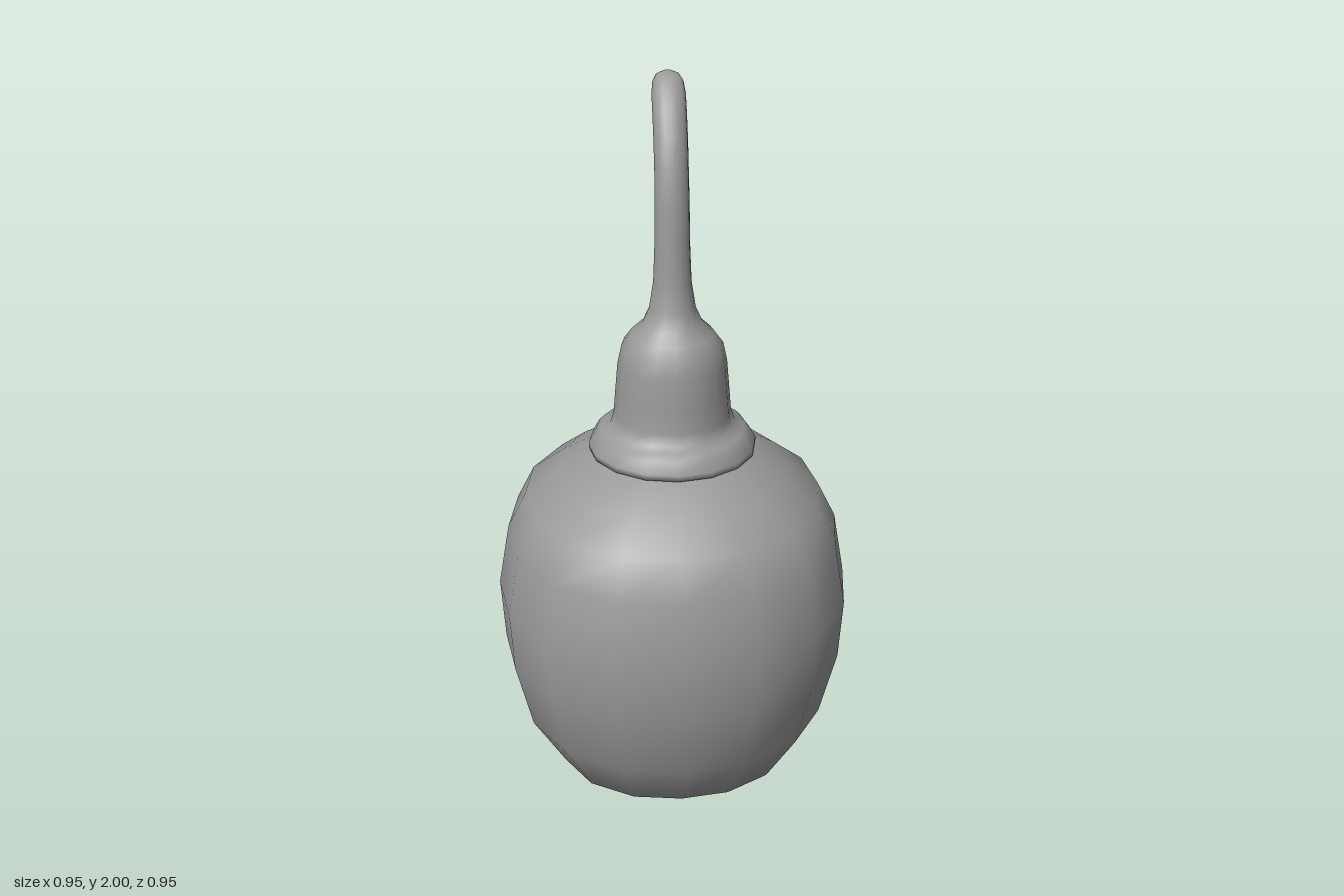
import * as THREE from 'three';

// Smooth closed loft through rings: [y, radiusX, radiusZ, z centre, backward tilt]
function loft(rings, sides, swell = 0) {
  const pos = [], idx = [];
  for (const [y, rx, rz = rx, zc = 0, tilt = 0] of rings) {
    for (let j = 0; j < sides; j++) {
      const a = (j / sides) * Math.PI * 2;
      const k = 1 + swell * (1 - Math.cos(4 * a));
      const d = rz * k * Math.cos(a);
      pos.push(rx * k * Math.sin(a), y + d * Math.sin(tilt), zc + d * Math.cos(tilt));
    }
  }
  for (let i = 0; i < rings.length - 1; i++) {
    for (let j = 0; j < sides; j++) {
      const n = (j + 1) % sides;
      const a = i * sides + j, b = i * sides + n;
      idx.push(a, b, b + sides, a, b + sides, a + sides);
    }
  }
  // Cap both ends with a centre point
  const ends = [rings[0], rings[rings.length - 1]];
  const last = (rings.length - 1) * sides;
  ends.forEach(([y, , , zc = 0], e) => {
    const c = pos.length / 3;
    pos.push(0, y, zc);
    for (let j = 0; j < sides; j++) {
      const n = (j + 1) % sides;
      if (e === 0) idx.push(c, n, j);
      else idx.push(c, last + j, last + n);
    }
  });
  const g = new THREE.BufferGeometry();
  g.setAttribute('position', new THREE.Float32BufferAttribute(pos, 3));
  g.setIndex(idx);
  g.computeVertexNormals();
  return g;
}

export function createModel() {
  const group = new THREE.Group();
  group.name = 'bulb';
  const grey = new THREE.MeshStandardMaterial({ color: 0x999999 });
  grey.name = 'grey';
  const add = (name, geometry) => {
    const mesh = new THREE.Mesh(geometry, grey);
    mesh.name = name;
    group.add(mesh);
  };

  // Rounded body, slightly squared in plan
  add('body', loft([
    [0.003, 0.003], [0.035, 0.18], [0.125, 0.33], [0.28, 0.42], [0.47, 0.465],
    [0.64, 0.475], [0.81, 0.445], [0.91, 0.395], [0.98, 0.305], [1.04, 0.21], [1.07, 0.1],
  ], 16, 0.021));

  // Collar ring, shoulder and thin stem curving to the back
  add('neckAndStem', loft([
    [1.03, 0.19], [1.04, 0.222], [1.055, 0.222], [1.085, 0.205], [1.1, 0.19],
    [1.11, 0.165], [1.14, 0.155], [1.2, 0.15], [1.28, 0.143], [1.33, 0.132],
    [1.36, 0.11], [1.39, 0.078], [1.43, 0.06], [1.5, 0.049, 0.047],
    [1.6, 0.045, 0.042, -0.003], [1.7, 0.044, 0.041, -0.01, 0.12],
    [1.78, 0.043, 0.041, -0.026, 0.28], [1.85, 0.043, 0.04, -0.052, 0.5],
    [1.91, 0.043, 0.036, -0.088, 0.68], [1.95, 0.043, 0.031, -0.12, 0.75],
    [1.975, 0.039, 0.025, -0.145, 0.8], [1.988, 0.03, 0.016, -0.161, 0.8],
    [1.994, 0.014, 0.008, -0.169, 0.8],
  ], 16));

  return group;
}
